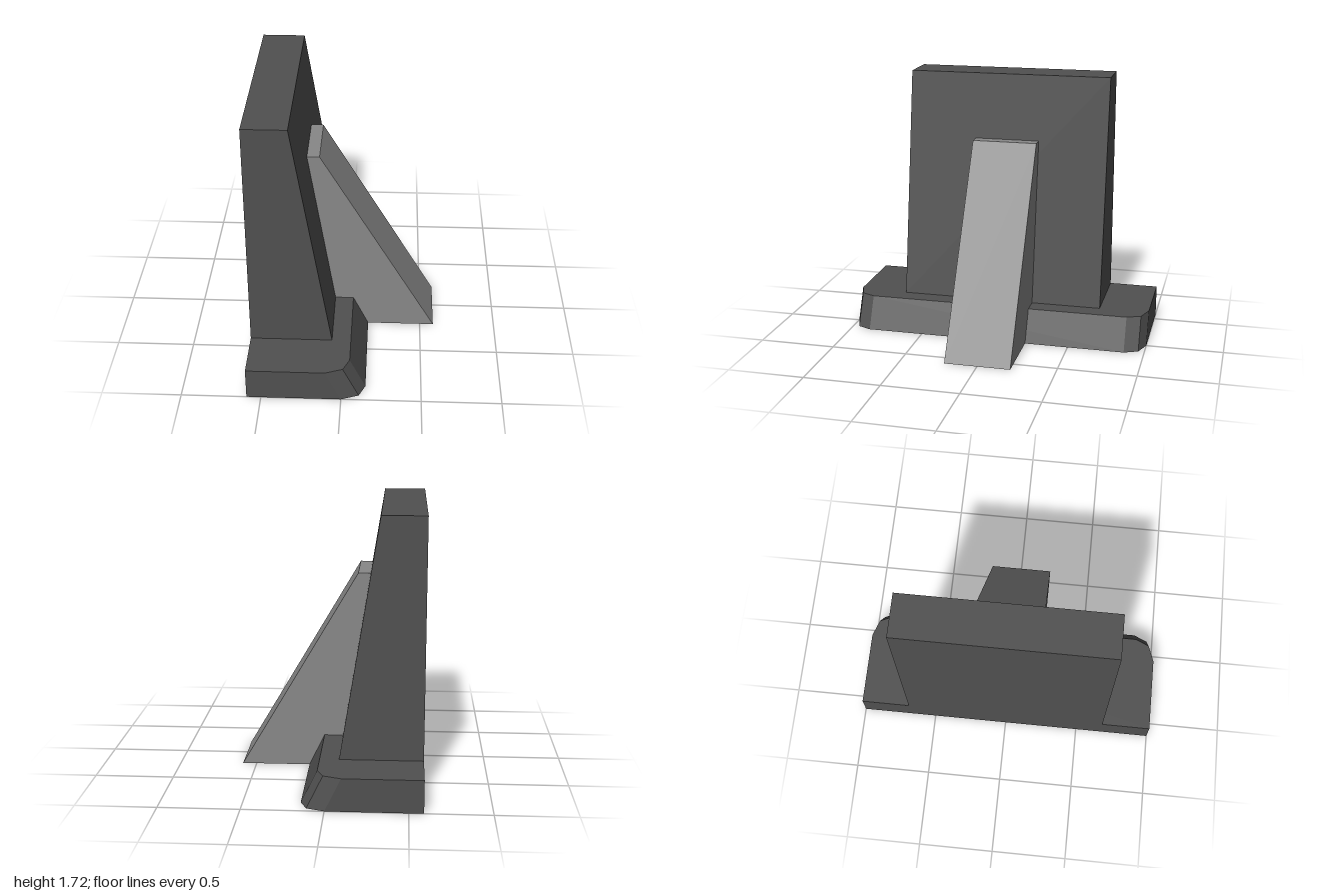
import * as THREE from 'three';

const BACK = -0.59, BASE_H = 0.207;

// Prism with the given outline, extruded to the given depth
function prism(points, depth) {
  const shape = new THREE.Shape(points.map(([x, y]) => new THREE.Vector2(x, y)));
  return new THREE.ExtrudeGeometry(shape, { depth, bevelEnabled: false });
}

export function createModel() {
  const group = new THREE.Group();
  const darkGrey = new THREE.MeshStandardMaterial({ color: 0x505050 });
  darkGrey.name = 'darkGrey';
  const lightGrey = new THREE.MeshStandardMaterial({ color: 0x888888 });
  lightGrey.name = 'lightGrey';

  const add = (name, geometry, material) => {
    const mesh = new THREE.Mesh(geometry, material);
    mesh.name = name;
    group.add(mesh);
  };

  // Base slab with clipped corners; its sloping edge leans back toward the wall
  const corner = [[0, 1], [0.11, 0.96], [0.15, 0.87]];
  const outline = [
    [BACK, -1],
    ...corner.map(([x, z]) => [x, -z]),
    ...corner.slice().reverse(),
    [BACK, 1],
  ];
  const base = prism(outline, BASE_H).rotateX(-Math.PI / 2);
  const pos = base.attributes.position;
  for (let i = 0; i < pos.count; i++) {
    if (pos.getX(i) > BACK + 0.1) pos.setX(i, pos.getX(i) - 0.1 * pos.getY(i) / BASE_H);
  }
  base.computeVertexNormals();
  add('base', base, darkGrey);

  // Tapered upright wall
  const wall = prism([[BACK, BASE_H], [-0.07, BASE_H], [-0.314, 1.715], [BACK, 1.715]], 1.35);
  add('wall', wall.translate(0, 0, -0.675), darkGrey);

  // Sloping buttress fitted against the wall and base
  const buttress = prism([
    [0.15, 0], [0.59, 0], [-0.165, 1.285], [-0.244, 1.285], [-0.07, BASE_H], [0.05, BASE_H],
  ], 0.43);
  add('buttress', buttress.translate(0, 0, -0.215), lightGrey);

  return group;
}
